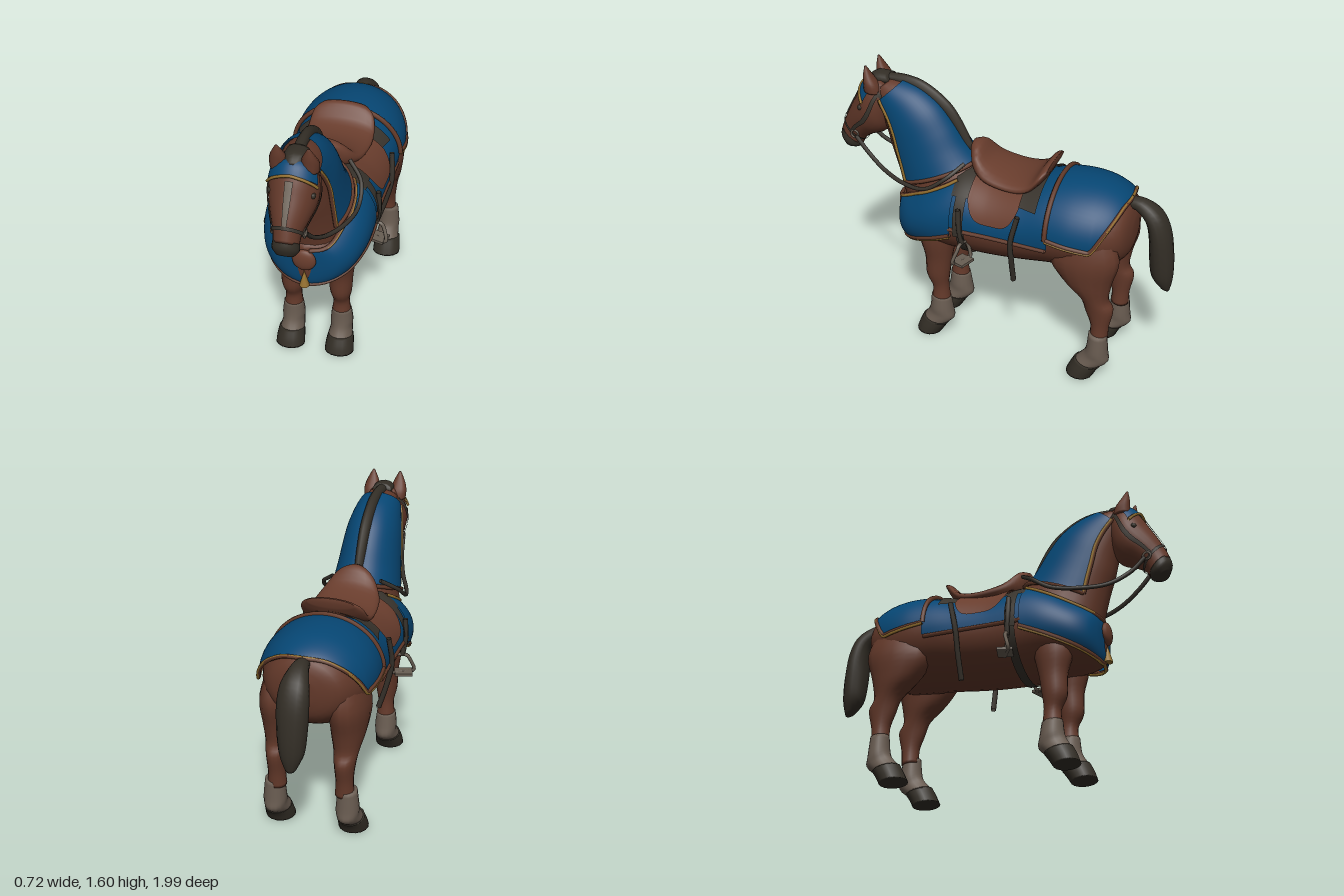
import * as THREE from 'three';

// cloth is open, so every colour is double sided
const paint = (name, color) => Object.assign(
  new THREE.MeshStandardMaterial({ color, side: THREE.DoubleSide }), { name });

export function createModel() {
  const coat = paint('chestnut coat', 0x623829), blue = paint('blue cloth', 0x064673);
  const hair = paint('dark hair', 0x332e26), sock = paint('grey sock', 0x685b50);
  const leather = paint('saddle leather', 0x693d2d), strap = paint('dark strap', 0x38332c);
  const trim = paint('brown trim', 0x633a29), gold = paint('gold braid', 0x94702f);
  const metal = paint('dull metal', 0x685e53);
  const horse = new THREE.Group();
  horse.name = 'horse';

  const add = (name, geo, mat) => {
    const m = new THREE.Mesh(geo, mat);
    m.name = name;
    horse.add(m);
    return m;
  };

  // rows: [z, y of one edge, z, y of opposite edge, half width]; smooth surface through them
  function surface(rows, x = 0) {
    const n = rows.length - 1;
    const row = (t) => {
      const i = Math.min(Math.floor(t), n - 1), f = t - i;
      const r = (k) => rows[Math.max(0, Math.min(n, k))];
      return rows[0].map((_, c) => {
        const a = r(i - 1)[c], b = r(i)[c], d = r(i + 1)[c], e = r(i + 2)[c];
        return b + 0.5 * f * (d - a + f * (2 * a - 5 * b + 4 * d - e + f * (3 * (b - d) + e - a)));
      });
    };
    const point = (t, a, off = 0) => {
      const [z1, y1, z2, y2, w] = row(t);
      const dy = (y1 - y2) / 2, dz = (z1 - z2) / 2;
      const k = Math.cos(a) * (1 + off / (Math.hypot(dy, dz) || 1));
      return new THREE.Vector3(x + Math.sin(a) * (w + off), (y1 + y2) / 2 + dy * k, (z1 + z2) / 2 + dz * k);
    };
    const atZ = (z) => { // t where the first edge passes z (rows run forwards)
      let lo = 0, hi = n;
      for (let i = 0; i < 30; i++) { const m = (lo + hi) / 2; if (row(m)[0] < z) lo = m; else hi = m; }
      return lo;
    };
    const angle = (t, y) => {
      const [, y1, , y2] = row(t);
      return Math.acos(THREE.MathUtils.clamp((2 * y - y1 - y2) / (y1 - y2), -1, 1));
    };
    return { n, row, point, atZ, angle };
  }

  function mesh(verts, index) {
    const g = new THREE.BufferGeometry().setFromPoints(verts);
    g.setIndex(index);
    g.computeVertexNormals();
    return g;
  }

  // closed, capped solid
  function loft(name, rows, mat, x = 0, sides = 24) {
    const s = surface(rows, x), steps = s.n * 4, v = [], idx = [];
    const a = rows[0], b = rows[s.n], m = rows[s.n >> 1];
    const flip = (b[1] + b[3] - a[1] - a[3]) * (m[2] - m[0]) - (b[0] + b[2] - a[0] - a[2]) * (m[3] - m[1]) < 0;
    const tri = (p, q, r) => idx.push(...(flip ? [p, r, q] : [p, q, r]));
    for (let i = 0; i <= steps; i++)
      for (let j = 0; j < sides; j++) v.push(s.point(i / 4, j / sides * Math.PI * 2));
    for (let i = 0; i < steps; i++)
      for (let j = 0; j < sides; j++) {
        const p = i * sides + j, q = i * sides + (j + 1) % sides;
        tri(p, p + sides, q);
        tri(q, p + sides, q + sides);
      }
    for (const i of [0, steps]) {
      const c = v.length, o = i * sides;
      v.push(s.point(i / 4, 0).add(s.point(i / 4, Math.PI)).multiplyScalar(0.5));
      for (let j = 0; j < sides; j++) {
        const k = o + (j + 1) % sides;
        if (i) tri(o + j, c, k); else tri(o + j, k, c);
      }
    }
    add(name, mesh(v, idx), mat);
    return s;
  }

  // cloth or strap lying on a surface, between two angles
  function patch(name, s, t0, t1, a0, a1, off, mat, nt = 24, na = 24) {
    const v = [], idx = [];
    for (let i = 0; i <= nt; i++) {
      const t = t0 + (t1 - t0) * i / nt, p = a0(t), q = a1(t);
      for (let j = 0; j <= na; j++) v.push(s.point(t, p + (q - p) * j / na, off));
    }
    for (let i = 0; i < nt; i++)
      for (let j = 0; j < na; j++) {
        const p = i * (na + 1) + j, q = p + na + 1;
        idx.push(p, q, p + 1, p + 1, q, q + 1);
      }
    add(name, mesh(v, idx), mat);
  }
  const tube = (name, pts, r, mat, closed = false) => add(name, new THREE.TubeGeometry(
    new THREE.CatmullRomCurve3(pts.map((p) => p.isVector3 ? p : new THREE.Vector3(...p)), closed), 40, r, 6, closed), mat);
  const edge = (s, t0, t1, a, off, n = 16) => Array.from({ length: n + 1 }, (_, i) => {
    const t = t0 + (t1 - t0) * i / n;
    return s.point(t, a(t), off);
  });
  const hem = (name, s, t0, t1, a, off) => {
    tube(name + 'Trim', edge(s, t0, t1, a, off), 0.012, trim);
    tube(name + 'Braid', edge(s, t0, t1, (t) => a(t) * 1.025, off + 0.004), 0.0085, gold);
  };

  // body, neck and head
  const body = loft('body', [
    [-0.765, 0.95, -0.765, 0.82, 0.06], [-0.73, 1.05, -0.73, 0.72, 0.19], [-0.62, 1.11, -0.62, 0.64, 0.265],
    [-0.48, 1.13, -0.48, 0.62, 0.295], [-0.33, 1.12, -0.33, 0.61, 0.29], [-0.17, 1.08, -0.17, 0.59, 0.28],
    [0, 1.06, 0, 0.575, 0.275], [0.2, 1.08, 0.2, 0.57, 0.275], [0.35, 1.02, 0.35, 0.58, 0.268],
    [0.48, 0.935, 0.48, 0.59, 0.23], [0.56, 0.89, 0.56, 0.605, 0.17], [0.595, 0.87, 0.595, 0.63, 0.1],
    [0.61, 0.85, 0.61, 0.67, 0.015]], coat, 0, 32);
  const neck = loft('neck', [
    [0.58, 0.80, 0.05, 1.04, 0.215], [0.61, 0.92, 0.15, 1.11, 0.185], [0.64, 1.03, 0.23, 1.20, 0.168],
    [0.67, 1.12, 0.30, 1.31, 0.155], [0.69, 1.20, 0.38, 1.41, 0.143], [0.715, 1.28, 0.48, 1.48, 0.125],
    [0.745, 1.36, 0.58, 1.515, 0.105], [0.76, 1.44, 0.66, 1.525, 0.08]], coat);
  const head = loft('head', [
    [0.73, 1.535, 0.64, 1.46, 0.07], [0.80, 1.51, 0.66, 1.34, 0.115], [0.85, 1.45, 0.68, 1.24, 0.13],
    [0.89, 1.38, 0.72, 1.19, 0.12], [0.93, 1.31, 0.79, 1.16, 0.097], [0.965, 1.24, 0.85, 1.12, 0.073],
    [0.992, 1.175, 0.875, 1.075, 0.066]], coat);
  loft('muzzle', [
    [0.986, 1.185, 0.872, 1.085, 0.068], [1.0, 1.14, 0.885, 1.06, 0.069], [0.985, 1.09, 0.92, 1.05, 0.045]], hair);

  // mane, forelock and tail
  loft('mane', [
    [0.72, 1.545, 0.70, 1.50, 0.03], [0.58, 1.55, 0.60, 1.48, 0.03], [0.46, 1.52, 0.50, 1.45, 0.03],
    [0.33, 1.43, 0.39, 1.38, 0.03], [0.25, 1.32, 0.31, 1.28, 0.028], [0.18, 1.18, 0.25, 1.16, 0.025]], hair, 0, 12);
  loft('forelock', [
    [0.68, 1.55, 0.66, 1.49, 0.055], [0.76, 1.55, 0.72, 1.48, 0.06], [0.81, 1.515, 0.79, 1.47, 0.035]], hair, 0, 12);
  loft('tail', [
    [-0.70, 1.07, -0.70, 1.00, 0.03], [-0.80, 1.07, -0.76, 1.00, 0.048], [-0.90, 1.01, -0.82, 0.94, 0.075],
    [-0.955, 0.90, -0.84, 0.85, 0.085], [-0.98, 0.75, -0.848, 0.73, 0.08], [-0.985, 0.62, -0.865, 0.62, 0.065],
    [-0.97, 0.53, -0.91, 0.56, 0.03]], hair, 0, 14);

  const flat = (c) => () => c;
  const onBody = (f) => (t) => body.angle(t, f(body.row(t)[0]));
  const over = (name, z0, z1, f, off, mat) => patch(name, body, body.atZ(z0), body.atZ(z1),
    (t) => -onBody(f)(t), onBody(f), off, mat, 24, 32);

  // blankets, pads and saddle
  const rumpHem = (z) => z > -0.6 ? 0.855 + (z + 0.6) * 0.12 : 0.855 - (z + 0.6) * 1.5;
  const shoulderTop = (z) => 0.83 + (0.6 - z) * 0.53, shoulderHem = (z) => 0.63 + (0.58 - z) * 0.4;
  over('rumpBlanket', -0.735, -0.35, rumpHem, 0.022, blue);
  over('middleBlanket', -0.36, 0.24, flat(0.82), 0.014, blue);
  over('rearSaddlePad', -0.28, -0.12, flat(0.99), 0.026, strap);
  over('frontSaddlePad', 0.1, 0.22, flat(0.98), 0.024, strap);
  over('frontSaddleStrap', 0.13, 0.19, flat(0.78), 0.026, strap);
  patch('girth', body, body.atZ(0.13), body.atZ(0.18), flat(1.5), flat(4.78), 0.008, strap, 4, 32);
  over('saddleFlaps', -0.18, 0.12, (z) => 0.88 + Math.pow(Math.abs(z + 0.03) / 0.15, 4) * 0.1, 0.034, leather);
  loft('saddleSeat', [
    [0.18, 1.235, 0.18, 1.17, 0.05], [0.13, 1.235, 0.15, 1.07, 0.12], [0.06, 1.155, 0.06, 1.03, 0.17],
    [-0.08, 1.115, -0.08, 1.02, 0.19], [-0.2, 1.135, -0.18, 1.03, 0.19], [-0.265, 1.205, -0.25, 1.09, 0.175],
    [-0.3, 1.215, -0.29, 1.16, 0.13]], leather);
  const across = (z, y) => Array.from({ length: 25 }, (_, i) =>
    body.point(body.atZ(z), body.angle(body.atZ(z), y) * (i / 12 - 1), 0.024));
  tube('rumpFrontTrim', across(-0.35, 0.88), 0.014, trim);

  // hood, leaving the throat bare
  const hoodFront = (t) => 0.9 + 0.07 * (t - 1.15);
  patch('hood', neck, 1.15, 6.2, hoodFront, (t) => Math.PI * 2 - hoodFront(t), 0.014, blue, 32, 32);
  const hoodHem = Array.from({ length: 21 }, (_, i) => neck.point(1.15, 0.9 + (Math.PI * 2 - 1.8) * i / 20, 0.016));
  tube('hoodHemTrim', hoodHem, 0.012, trim);

  // bridle and face pieces
  patch('browCloth', head, 0.75, 1.8, flat(-1.15), flat(1.15), 0.009, blue, 8, 16);
  tube('browBraid', Array.from({ length: 13 }, (_, i) =>
    head.point(1.8 + Math.abs(i - 6) * 0.03, -1.15 + i * 1.15 / 6, 0.01)), 0.008, gold);
  patch('faceStrap', head, 2.1, 5.1, flat(-0.15), flat(0.15), 0.007, metal, 12, 4);
  patch('noseband', head, 4.85, 5.1, flat(0), flat(Math.PI * 2), 0.008, strap, 2, 28);
  patch('headstall', head, 0.5, 0.7, flat(0), flat(Math.PI * 2), 0.007, strap, 2, 28);

  for (const s of [1, -1]) {
    const side = s > 0 ? 'left' : 'right';
    // ears and eyes
    loft(side + 'Ear', [
      [0.80, 1.46, 0.70, 1.45, 0.045], [0.80, 1.51, 0.715, 1.50, 0.047],
      [0.80, 1.55, 0.75, 1.55, 0.032], [0.793, 1.60, 0.783, 1.60, 0.006]], coat, s * 0.08, 12);
    const eye = add(side + 'Eye', new THREE.SphereGeometry(0.017, 12, 8), hair);
    eye.position.copy(head.point(2.5, s * 1.1, -0.008));

    // cheek strap, bit ring and rein
    patch(side + 'CheekStrap', head, 0.6, 5, flat(s * 1.5), flat(s * 1.7), 0.008, strap, 16, 2);
    const bit = add(side + 'BitRing', new THREE.TorusGeometry(0.022, 0.006, 6, 16), metal);
    bit.position.set(s * 0.083, 1.17, 0.88);
    bit.rotation.y = Math.PI / 2;
    tube(side + 'Rein', [[s * 0.085, 1.16, 0.87], [s * 0.10, 1.08, 0.79], [s * 0.14, 1.01, 0.67],
      [s * 0.20, 0.985, 0.52], [s * 0.235, 1.0, 0.38], [s * 0.22, 1.08, 0.26], [s * 0.14, 1.15, 0.18]], 0.012, strap);

    // hems
    const a = (f) => (t) => s * onBody(f)(t);
    patch(side + 'ShoulderCloth', body, body.atZ(0.21), body.n, a(shoulderTop), a(shoulderHem), 0.024, blue, 32, 16);
    hem(side + 'ShoulderTop', body, body.atZ(0.21), body.n, a(shoulderTop), 0.024);
    hem(side + 'ShoulderHem', body, body.atZ(0.21), body.n, a(shoulderHem), 0.024);
    hem(side + 'RumpHem', body, body.atZ(-0.735), body.atZ(-0.35), a(rumpHem), 0.023);
    tube(side + 'MiddleHemTrim', edge(body, body.atZ(-0.35), body.atZ(0.22), a(flat(0.81)), 0.014), 0.013, trim);
    hem(side + 'HoodFront', neck, 1.15, 6.2, (t) => s * hoodFront(t), 0.012);

    // stirrup, set at an angle, with its leather, and the hanging rear strap
    tube(side + 'StirrupLeather', [[s * 0.295, 0.95, 0.155], [s * 0.30, 0.83, 0.15], [s * 0.285, 0.73, 0.14]], 0.015, strap);
    tube(side + 'Stirrup', [[s * 0.245, 0.725, 0.13], [s * 0.28, 0.738, 0.14], [s * 0.315, 0.73, 0.145], [s * 0.325, 0.715, 0.147],
      [s * 0.347, 0.645, 0.17], [s * 0.34, 0.63, 0.17], [s * 0.29, 0.628, 0.14], [s * 0.24, 0.632, 0.11],
      [s * 0.236, 0.65, 0.11]], 0.011, metal, true);
    const tread = add(side + 'StirrupTread', new THREE.BoxGeometry(0.1, 0.016, 0.085), metal);
    tread.position.set(s * 0.295, 0.628, 0.135);
    tread.rotation.y = -s * 0.3;
    tube(side + 'RearStrap', [[s * 0.295, 0.98, -0.19], [s * 0.305, 0.82, -0.155], [s * 0.275, 0.68, -0.15],
      [s * 0.23, 0.535, -0.145]], 0.015, strap);

    // front leg
    loft(side + 'FrontLeg', [
      [0.44, 0.80, 0.20, 0.80, 0.07], [0.46, 0.65, 0.24, 0.65, 0.083], [0.43, 0.52, 0.27, 0.52, 0.068],
      [0.425, 0.40, 0.285, 0.42, 0.062], [0.39, 0.32, 0.295, 0.33, 0.046], [0.395, 0.25, 0.285, 0.24, 0.053]], coat, s * 0.138, 16);
    loft(side + 'FrontSock', [
      [0.398, 0.26, 0.283, 0.25, 0.055], [0.405, 0.19, 0.27, 0.17, 0.064], [0.42, 0.145, 0.262, 0.115, 0.062],
      [0.45, 0.10, 0.30, 0.075, 0.07]], sock, s * 0.14, 16);
    loft(side + 'FrontHoof', [
      [0.45, 0.11, 0.295, 0.075, 0.072], [0.475, 0.06, 0.32, 0.04, 0.08], [0.49, 0.015, 0.345, 0.0, 0.083]], hair, s * 0.143, 16);

    // hind leg
    loft(side + 'HindLeg', [
      [-0.42, 0.93, -0.66, 0.95, 0.05], [-0.34, 0.75, -0.735, 0.78, 0.105], [-0.41, 0.62, -0.70, 0.62, 0.095],
      [-0.52, 0.52, -0.685, 0.51, 0.07], [-0.56, 0.42, -0.715, 0.45, 0.056], [-0.59, 0.34, -0.695, 0.34, 0.048],
      [-0.59, 0.26, -0.69, 0.25, 0.053]], coat, s * 0.19, 16);
    loft(side + 'HindSock', [
      [-0.585, 0.29, -0.69, 0.28, 0.053], [-0.575, 0.19, -0.70, 0.17, 0.064], [-0.55, 0.145, -0.705, 0.115, 0.062],
      [-0.51, 0.10, -0.66, 0.075, 0.07]], sock, s * 0.205, 16);
    loft(side + 'HindHoof', [
      [-0.51, 0.11, -0.665, 0.075, 0.072], [-0.485, 0.06, -0.64, 0.04, 0.08], [-0.465, 0.015, -0.62, 0.0, 0.083]], hair, s * 0.21, 16);
  }

  // chest boss and tassel
  const boss = add('chestBoss', new THREE.SphereGeometry(0.065, 20, 14), leather);
  boss.position.set(0, 0.78, 0.615);
  boss.scale.z = 0.4;
  const tassel = add('chestTassel', new THREE.ConeGeometry(0.028, 0.1, 10), gold);
  tassel.position.set(0, 0.66, 0.615);
  return horse;
}
